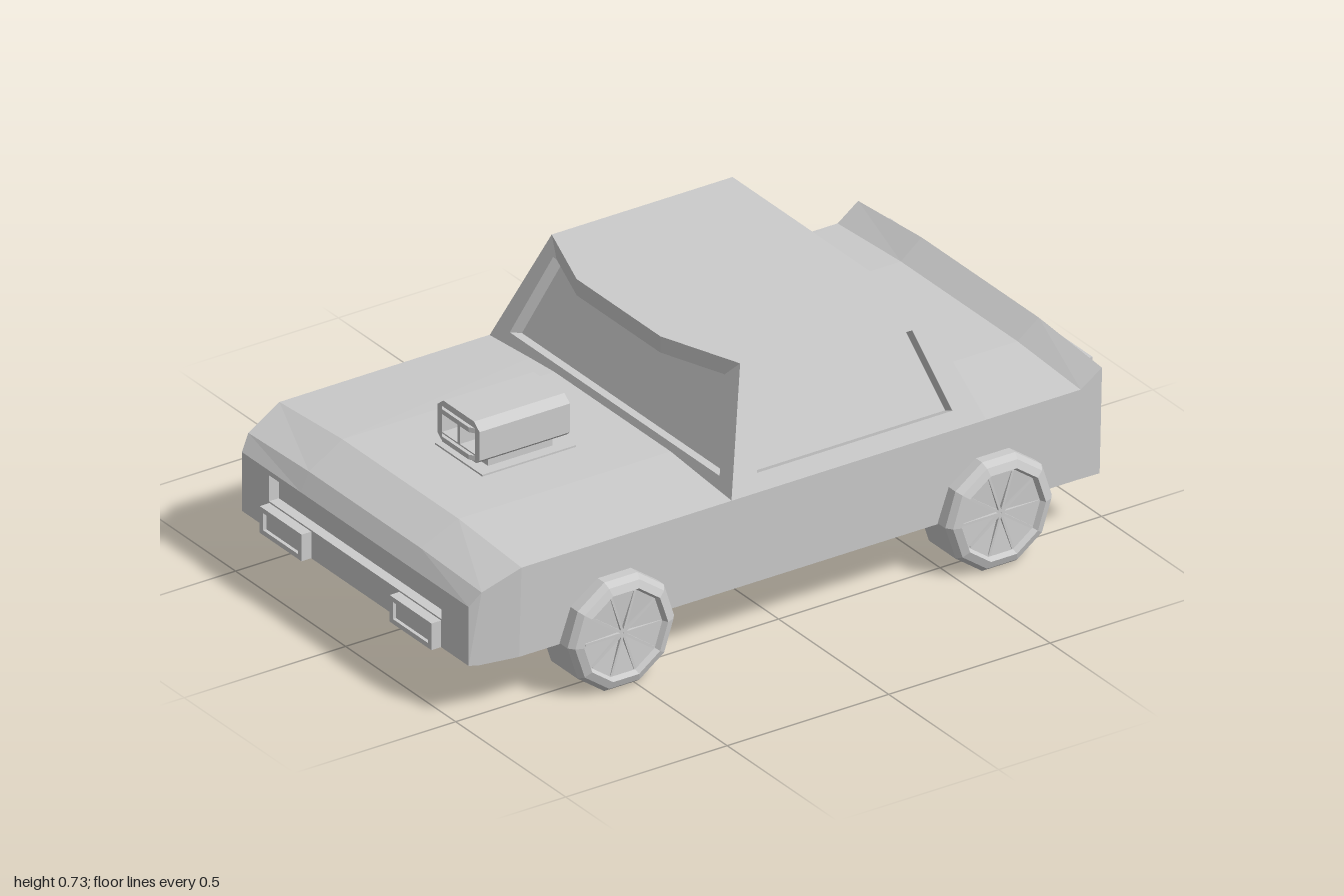
import * as THREE from 'three';

const mat = new THREE.MeshStandardMaterial({ color: 0xcccccc, flatShading: true });
const V = (x, y, z) => new THREE.Vector3(x, y, z);

function add(parent, name, geometry, x = 0, y = 0, z = 0) {
  const mesh = new THREE.Mesh(geometry, mat);
  mesh.name = name;
  mesh.position.set(x, y, z);
  parent.add(mesh);
  return mesh;
}

// Collects counter-clockwise quads into one flat-shaded geometry
function quads(list) {
  const pts = [];
  for (const [a, b, c, d] of list) pts.push(a, b, c, a, c, d);
  const g = new THREE.BufferGeometry().setFromPoints(pts);
  g.computeVertexNormals();
  return g;
}

// Framed opening: outer corners [bl, br, tr, tl], side margin mu, opening v0..v1,
// recessed by depth, with optional outer walls running back
function panel(outer, mu, v0, v1, depth, back = 0) {
  const [bl, br, tr, tl] = outer;
  const n = br.clone().sub(bl).cross(tl.clone().sub(bl)).normalize();
  const at = (u, v) => bl.clone().lerp(br, u).lerp(tl.clone().lerp(tr, u), v);
  const shift = (p, d) => p.clone().addScaledVector(n, -d);
  const inner = [at(mu, v0), at(1 - mu, v0), at(1 - mu, v1), at(mu, v1)];
  const glass = inner.map(p => shift(p, depth));
  const list = [glass];
  for (let i = 0; i < 4; i++) {
    const j = (i + 1) % 4;
    list.push([outer[i], outer[j], inner[j], inner[i]]);
    list.push([inner[i], inner[j], glass[j], glass[i]]);
    if (back) list.push([shift(outer[i], back), shift(outer[j], back), outer[j], outer[i]]);
  }
  return quads(list);
}

// Mirrors a corner list across the z = 0 plane, keeping its facing
const mirrorZ = ([bl, br, tr, tl]) => [br, bl, tl, tr].map(p => V(p.x, p.y, -p.z));

function makeBody() {
  // x, half width, bottom, lower side, upper side, crown
  const sections = [
    [-0.97, 0.515, 0.16, 0.16, 0.33, 0.33],
    [-0.94, 0.53, 0.14, 0.155, 0.37, 0.378],
    [-0.83, 0.55, 0.14, 0.155, 0.418, 0.435],
    [0.9, 0.552, 0.14, 0.155, 0.42, 0.435],
    [0.965, 0.554, 0.14, 0.155, 0.465, 0.485],
  ];
  const rings = sections.map(([x, w, b, ls, us, t]) => {
    const half = [[0.8 * w, b], [(x < -0.95 ? 1 : 0.98) * w, ls], [w, us], [0.48 * w, t]];
    return [...half.map(([z, y]) => V(x, y, z)), ...half.reverse().map(([z, y]) => V(x, y, -z))];
  });
  const list = [];
  for (let i = 0; i < rings.length - 1; i++) {
    for (let k = 0; k < 8; k++) {
      const m = (k + 1) % 8;
      list.push([rings[i][k], rings[i + 1][k], rings[i + 1][m], rings[i][m]]);
    }
  }
  const r = rings[rings.length - 1];
  list.push([r[0], r[7], r[6], r[1]], [r[1], r[6], r[5], r[2]], [r[2], r[5], r[4], r[3]]);
  return quads(list);
}

function makeCabin() {
  const cabin = new THREE.Group();
  cabin.name = 'cabin';
  const y0 = 0.417, y1 = 0.73, zb = 0.55, zt = 0.428;
  const side = [V(-0.18, y0, zb), V(0.61, y0, zb), V(0.49, y1, zt), V(-0.07, y1, zt)];
  add(cabin, 'leftWindow', panel(side, 0.1, 0.15, 0.84, 0.035));
  add(cabin, 'rightWindow', panel(mirrorZ(side), 0.1, 0.15, 0.84, 0.035));
  add(cabin, 'windscreen', panel(
    [V(-0.18, y0, -zb), V(-0.18, y0, zb), V(-0.07, y1, zt), V(-0.07, y1, -zt)], 0.055, 0.12, 0.85, 0.04));
  add(cabin, 'rearWindow', panel(
    [V(0.61, y0, zb), V(0.61, y0, -zb), V(0.49, y1, -zt), V(0.49, y1, zt)], 0.055, 0.12, 0.84, 0.04));
  // Roof slab with a visor reaching over the windscreen
  const outline = [[0.49, zt], [-0.07, zt], [-0.155, 0.19], [-0.155, -0.19], [-0.07, -zt], [0.49, -zt]];
  const roof = new THREE.ExtrudeGeometry(
    new THREE.Shape(outline.map(p => new THREE.Vector2(...p))), { depth: 0.047, bevelEnabled: false });
  add(cabin, 'roof', roof.rotateX(Math.PI / 2), 0, y1, 0);
  return cabin;
}

function makeWheel(name, x, s) {
  const wheel = new THREE.Group();
  wheel.name = name;
  // Profile from the inner face out to the dished rim
  const profile = [[0, 0], [0.145, 0], [0.165, 0.02], [0.165, 0.14], [0.152, 0.157], [0.13, 0.165], [0.122, 0.15], [0, 0.143]];
  const tyre = new THREE.LatheGeometry(profile.map(p => new THREE.Vector2(...p)), 10, Math.PI / 2);
  add(wheel, 'tyreAndRim', tyre.rotateX(Math.PI / 2));
  for (let i = 0; i < 10; i++) {
    const a = (i * Math.PI) / 5;
    add(wheel, 'spoke', new THREE.BoxGeometry(0.115, 0.007, 0.012), Math.cos(a) * 0.06, Math.sin(a) * 0.06, 0.146)
      .rotation.z = a;
  }
  wheel.position.set(x, 0.158, s * 0.435);
  if (s < 0) wheel.rotation.y = Math.PI;
  return wheel;
}

function makeEngine() {
  const engine = new THREE.Group();
  engine.name = 'engineIntake';
  add(engine, 'hoodPlate', new THREE.BoxGeometry(0.29, 0.02, 0.215), -0.505, 0.43, 0);
  add(engine, 'intakeNeck', new THREE.BoxGeometry(0.2, 0.06, 0.15), -0.51, 0.445, 0);
  // Scoop with chamfered top and a bowed front rim
  const shape = new THREE.Shape([[-0.095, 0.475], [-0.08, 0.462], [0.08, 0.462], [0.095, 0.475],
    [0.095, 0.558], [0.07, 0.578], [-0.07, 0.578], [-0.095, 0.558]].map(p => new THREE.Vector2(...p)));
  for (const s of [-1, 1]) {
    const a = s < 0 ? -0.075 : 0.006, b = s < 0 ? -0.006 : 0.075;
    shape.holes.push(new THREE.Path([[a, 0.485], [a, 0.545], [b, 0.545], [b, 0.485]].map(p => new THREE.Vector2(...p))));
  }
  const rim = new THREE.ExtrudeGeometry(shape, { depth: 0.07, bevelEnabled: false }).rotateY(-Math.PI / 2);
  add(engine, 'scoopMouth', rim, -0.58, 0, 0);
  const solid = new THREE.Shape(shape.getPoints());
  const box = new THREE.ExtrudeGeometry(solid, { depth: 0.21, bevelEnabled: false }).rotateY(-Math.PI / 2);
  add(engine, 'scoopBody', box, -0.37, 0, 0);
  for (const y of [0.474, 0.553]) {
    const lip = new THREE.Shape([[-0.64, -0.09], [-0.66, -0.06], [-0.66, 0.06], [-0.64, 0.09]].map(p => new THREE.Vector2(...p)));
    add(engine, 'scoopLip', new THREE.ExtrudeGeometry(lip, { depth: 0.014, bevelEnabled: false }).rotateX(Math.PI / 2), 0, y + 0.007, 0);
  }
  return engine;
}

function makeExhaust() {
  const exhaust = new THREE.Group();
  exhaust.name = 'exhaust';
  const muffler = new THREE.CylinderGeometry(1, 1, 0.15, 8).rotateY(Math.PI / 8).rotateZ(Math.PI / 2);
  add(exhaust, 'muffler', muffler.scale(1, 0.038, 0.088), 0.855, 0.162, 0.32);
  for (const z of [0.293, 0.35]) {
    const tube = [[0.015, -0.05], [0.024, -0.05], [0.024, 0.05], [0.015, 0.05], [0.015, -0.04]];
    const pipe = new THREE.LatheGeometry(tube.map(p => new THREE.Vector2(...p)), 8).rotateZ(-Math.PI / 2);
    add(exhaust, 'tailpipe', pipe.scale(1, 0.7, 1), 0.95, 0.158, z);
  }
  return exhaust;
}

export function createModel() {
  const car = new THREE.Group();
  car.name = 'car';
  add(car, 'body', makeBody());
  // Nose with a wide recessed grille
  add(car, 'grille', panel(
    [V(-0.97, 0.16, -0.515), V(-0.97, 0.16, 0.515), V(-0.97, 0.33, 0.515), V(-0.97, 0.33, -0.515)], 0.12, 0.48, 0.92, 0.03));
  car.add(makeCabin(), makeEngine(), makeExhaust());

  // Lamps, mirrored left and right
  const head = [V(-1, 0.16, 0.2), V(-1, 0.16, 0.39), V(-1, 0.237, 0.39), V(-1, 0.237, 0.2)];
  const tail = [V(1, 0.37, 0.46), V(1, 0.37, 0.29), V(1, 0.445, 0.31), V(1, 0.445, 0.46)];
  for (const flip of [q => q, mirrorZ]) {
    add(car, 'headlight', panel(flip(head), 0.08, 0.18, 0.82, 0.01, 0.04));
    add(car, 'tailLight', panel(flip(tail), 0.09, 0.12, 0.88, 0.01, 0.04));
  }
  for (const [end, x] of [['front', -0.54], ['rear', 0.63]]) {
    car.add(makeWheel(end + 'LeftWheel', x, 1), makeWheel(end + 'RightWheel', x, -1));
  }
  return car;
}
